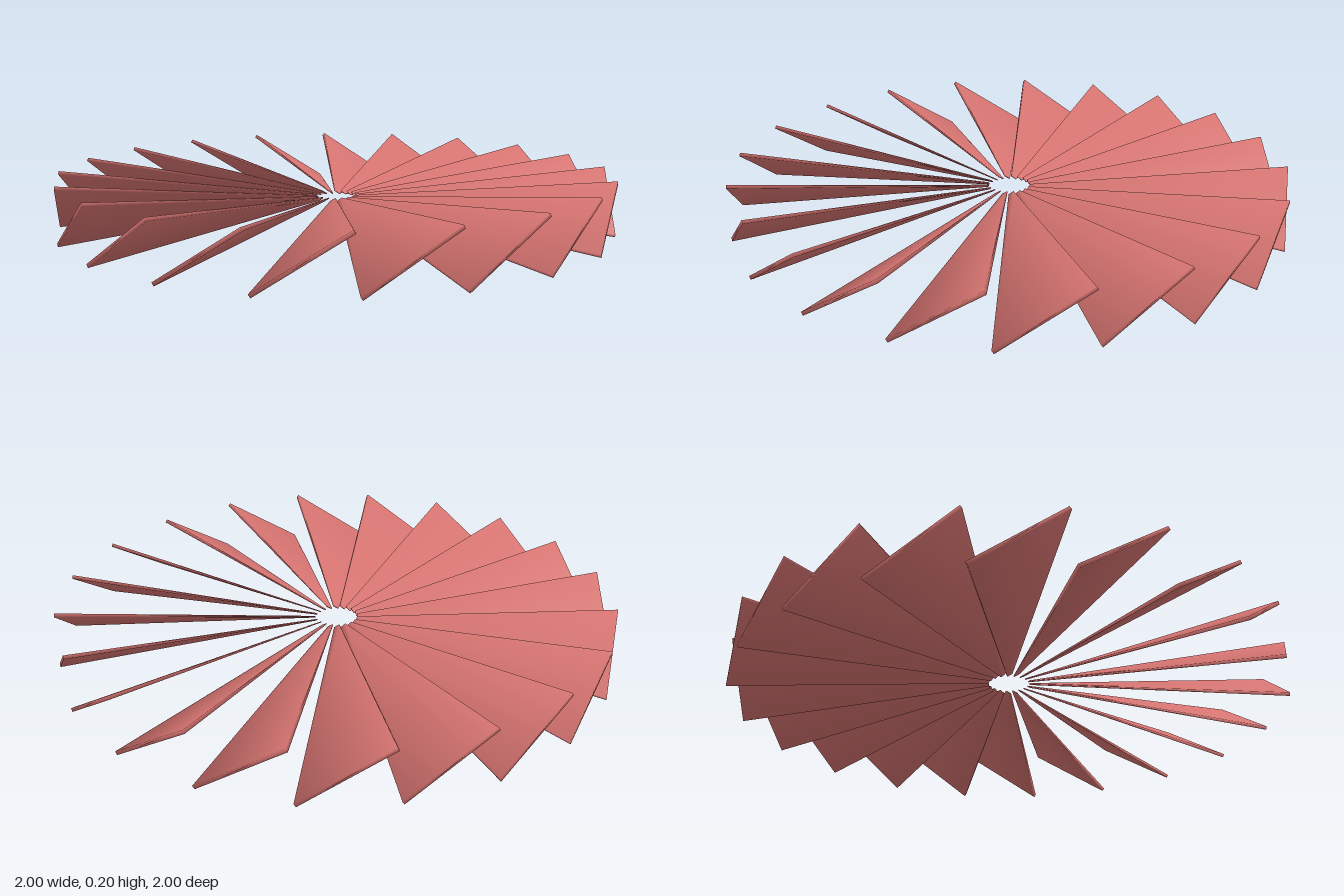
import * as THREE from 'three';

const BLADES = 20;
const TILT = Math.atan2(0.19, 0.294); // slope of every blade

// One tapered, tilted plate pointing along +z, with its +x edge raised.
// Its normals lean outwards at the edges for a soft, pillowed shading.
function bladeGeometry() {
  const sections = [
    { z: 0.076, half: 0.009, thick: 0.004, lean: -0.15 },
    { z: 0.989, half: 0.147, thick: 0.013, lean: 0.15 },
  ];
  const corners = [[-1, -1], [1, -1], [1, 1], [-1, 1]]; // across, through
  const c = Math.cos(TILT), s = Math.sin(TILT);
  const positions = [], normals = [], index = [];
  for (const { z, half, thick, lean } of sections) {
    for (const [u, v] of corners) {
      const across = (u * half) / c;
      const through = (v * thick) / 2;
      positions.push(across * c - through * s, 0.1 + across * s + through * c, z);
      const n = new THREE.Vector3(u * 0.4 * c - v * s, u * 0.4 * s + v * c, lean).normalize();
      normals.push(n.x, n.y, n.z);
    }
  }
  // Long faces between the two sections, then the inner and outer ends
  for (let i = 0; i < 4; i++) {
    const j = (i + 1) % 4;
    index.push(i, j, j + 4, i, j + 4, i + 4);
  }
  index.push(0, 2, 1, 0, 3, 2, 4, 5, 6, 4, 6, 7);

  const geometry = new THREE.BufferGeometry();
  geometry.setAttribute('position', new THREE.Float32BufferAttribute(positions, 3));
  geometry.setAttribute('normal', new THREE.Float32BufferAttribute(normals, 3));
  geometry.setIndex(index);
  return geometry;
}

export function createModel() {
  const group = new THREE.Group();
  group.name = 'bladeRing';
  const coral = new THREE.MeshStandardMaterial({ color: 0xd87572 });
  coral.name = 'coral';

  // Ring of identical blades around the open centre
  const geometry = bladeGeometry();
  for (let i = 0; i < BLADES; i++) {
    const blade = new THREE.Mesh(geometry, coral);
    blade.name = `blade${i + 1}`;
    blade.rotation.y = ((i + 0.5) / BLADES) * Math.PI * 2;
    group.add(blade);
  }
  return group;
}
